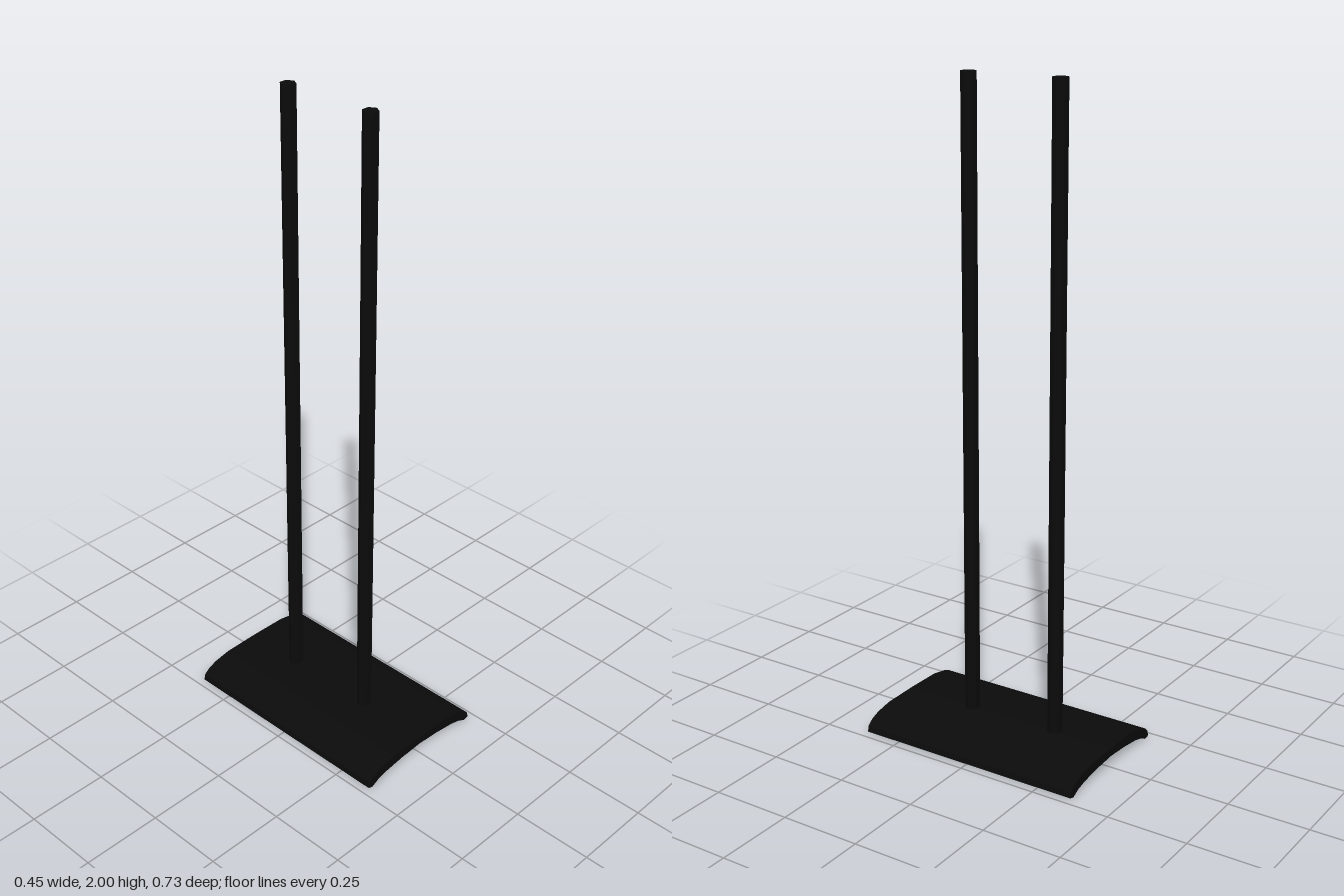
import * as THREE from 'three';

const black = new THREE.MeshStandardMaterial({ color: 0x0b0b0b, flatShading: true });
const grey = new THREE.MeshStandardMaterial({ color: 0xcccccc, flatShading: true });

// Right halves of the arched plate's section, from the rim to the middle
const OUTER = [[0.227, 0.004], [0.224, 0.022], [0.205, 0.038], [0.175, 0.05], [0.12, 0.06], [0, 0.062]];
const INNER = [[0.21, 0], [0.185, 0.013], [0.15, 0.022], [0.08, 0.031], [0, 0.036]];
const LENGTH = 0.73;

// Height of the plate's underside at x
function undersideY(x) {
  const ax = Math.abs(x);
  for (let i = 0; i < INNER.length - 1; i++) {
    const [x0, y0] = INNER[i], [x1, y1] = INNER[i + 1];
    if (ax >= x1) return y0 + (y1 - y0) * (x0 - ax) / (x0 - x1);
  }
  return INNER[INNER.length - 1][1];
}

// Extrudes a closed section in x, y along z, centred on z = 0
function extrudeAlongZ(points, length) {
  const shape = new THREE.Shape(points.map(([x, y]) => new THREE.Vector2(x, y)));
  const geometry = new THREE.ExtrudeGeometry(shape, { depth: length, bevelEnabled: false });
  return geometry.translate(0, 0, -length / 2);
}

const mirrored = (half) => [...half, ...half.slice(0, -1).reverse().map(([x, y]) => [-x, y])];

export function createModel() {
  const model = new THREE.Group();
  const add = (name, geometry, material) => {
    const mesh = new THREE.Mesh(geometry, material);
    mesh.name = name;
    model.add(mesh);
    return mesh;
  };

  // Arched base plate
  const section = [...mirrored(OUTER), ...mirrored(INNER).reverse()];
  add('basePlate', extrudeAlongZ(section, LENGTH), black);

  // Grip strips under the plate, three on each side
  const half = 0.012;
  for (const side of [-1, 1]) {
    for (const offset of [0.045, 0.1, 0.155]) {
      const x0 = side * offset - half, x1 = side * offset + half;
      const y0 = undersideY(x0), y1 = undersideY(x1);
      const strip = [[x0, y0 - 0.003], [x1, y1 - 0.003], [x1, y1 + 0.004], [x0, y0 + 0.004]];
      add('gripStrip', extrudeAlongZ(strip, LENGTH - 0.08), grey);
    }
  }

  // Two six-sided upright poles
  for (const [name, z] of [['frontPole', 0.13], ['backPole', -0.17]]) {
    const pole = new THREE.CylinderGeometry(0.023, 0.023, 1.955, 6);
    pole.rotateY(Math.PI / 2);
    add(name, pole, black).position.set(0, 2 - 1.955 / 2, z);
  }
  return model;
}
